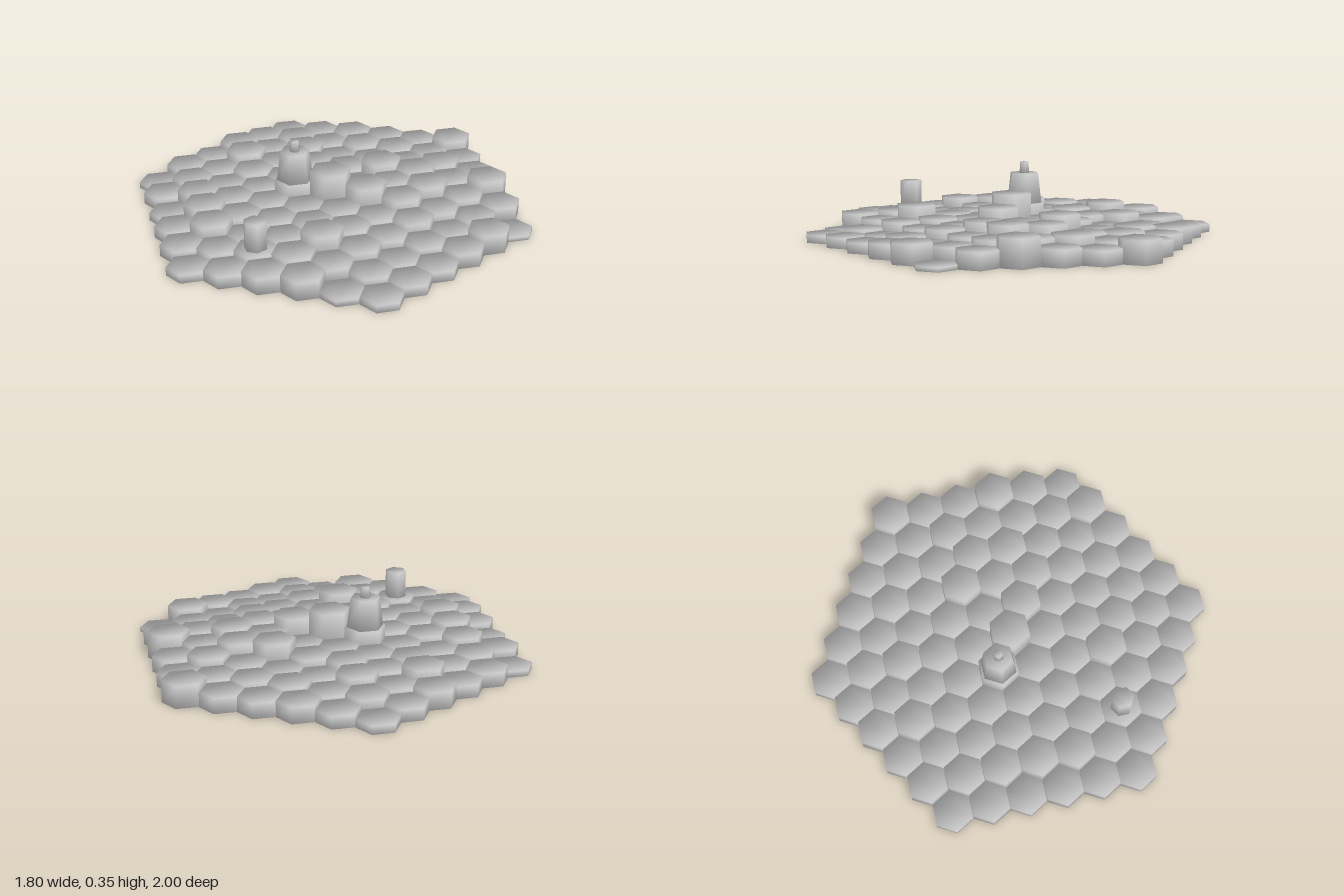
import * as THREE from 'three';

const COLUMN_STEP = 0.159;
const ROW_STEP = 0.1819;
const TILE_RADIUS = 0.104;

// Tile heights in hundredths, one list per column from left edge, back to front
const HEIGHTS = [
  [4, 6, 8.5, 6, 7, 3],
  [6, 8, 7, 11.5, 7, 8, 6],
  [8, 7, 10.5, 8, 9, 7, 10, 4],
  [7.5, 9, 7, 10, 8, 8, 9, 11.5, 6],
  [7.5, 9, 8, 10, 9, 14.5, 9, 9, 11.5, 6],
  [11, 8, 9, 15.5, 9, 21.5, 9, 9, 7, 7, 4],
  [7, 11, 13.5, 12.5, 17, 10, 10, 9, 8.7, 6],
  [8, 10, 14, 13, 9, 10, 14.5, 10, 8],
  [13.5, 10, 9, 10, 8, 9, 8, 9],
  [8, 7.5, 6, 7, 5, 6, 3],
  [2, 9.5, 7, 5, 5, 3.8],
];

// Six-sided prism with shared corners; normals lean outwards for soft shading
function hexPrism(topRadius, bottomRadius, height, turn) {
  const positions = [], normals = [], index = [];
  [[bottomRadius, 0, -0.5], [topRadius, height, 0.5]].forEach(([radius, y, lean]) => {
    for (let i = 0; i < 6; i++) {
      const a = turn + (i * Math.PI) / 3;
      const n = new THREE.Vector3(Math.sin(a), lean, Math.cos(a));
      positions.push(n.x * radius, y, n.z * radius);
      normals.push(...n.normalize().toArray());
    }
  });
  for (let i = 0; i < 6; i++) {
    const j = (i + 1) % 6;
    index.push(i, j, j + 6, i, j + 6, i + 6);
  }
  for (let i = 1; i < 5; i++) index.push(6, 6 + i, 7 + i, 0, i + 1, i);
  const g = new THREE.BufferGeometry();
  g.setAttribute('position', new THREE.Float32BufferAttribute(positions, 3));
  g.setAttribute('normal', new THREE.Float32BufferAttribute(normals, 3));
  g.setIndex(index);
  return g;
}

export function createModel() {
  const model = new THREE.Group();
  model.name = 'hexTileBoard';
  const stone = new THREE.MeshStandardMaterial({ color: 0xcccccc });
  stone.name = 'stone grey';
  const SIDE_CORNERS = Math.PI / 6;

  function add(name, parent, geometry, x, y, z) {
    const mesh = new THREE.Mesh(geometry, stone);
    mesh.name = name;
    mesh.position.set(x, y, z);
    parent.add(mesh);
  }

  // Board of hexagonal tiles with uneven heights
  const tiles = new THREE.Group();
  tiles.name = 'terrainTiles';
  model.add(tiles);
  HEIGHTS.forEach((column, c) => {
    column.forEach((h, r) => {
      const x = (c - 5) * COLUMN_STEP;
      const z = (r - (column.length - 1) / 2) * ROW_STEP;
      add('tile', tiles, hexPrism(TILE_RADIUS, TILE_RADIUS, h / 100, SIDE_CORNERS), x, 0, z);
    });
  });

  // Tapered tower with a small chimney on top
  const tower = new THREE.Group();
  tower.name = 'taperedTower';
  tower.position.set(-COLUMN_STEP, 0.145, ROW_STEP / 2);
  model.add(tower);
  add('towerBody', tower, hexPrism(0.074, 0.092, 0.15, SIDE_CORNERS), 0, 0, 0);
  add('towerChimney', tower, hexPrism(0.022, 0.026, 0.055, SIDE_CORNERS), 0, 0.15, 0);

  // Straight pillar near the front edge
  add('pillar', model, hexPrism(0.055, 0.055, 0.141, 0), COLUMN_STEP, 0.087, ROW_STEP * 3.5);

  return model;
}
